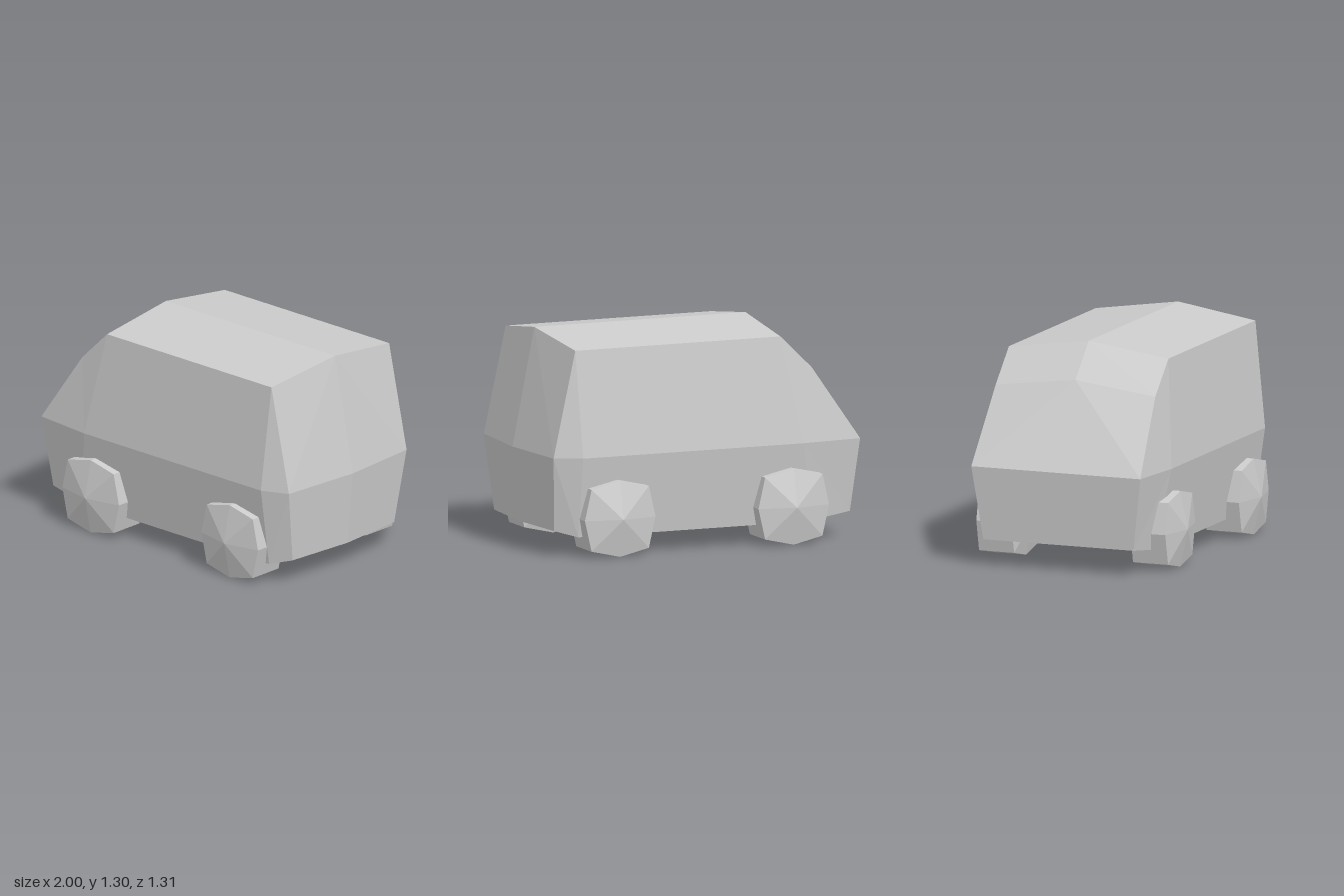
import * as THREE from 'three';

const material = new THREE.MeshStandardMaterial({
  color: 0xcccccc,
  flatShading: true,
});

// Half cross-sections from nose to tail. Each runs up the +z side:
// floor centre, floor edge, waist, roof edge, roof ridge.
const SECTIONS = [
  [[-0.96, 0.16, 0], [-0.96, 0.16, 0.48], [-1, 0.6, 0.54], [-1, 0.6, 0.54], [-1, 0.6, 0]],
  [[-0.7, 0.125, 0], [-0.7, 0.125, 0.51], [-0.62, 0.6, 0.58], [-0.7, 1.04, 0.51], [-0.7, 1.105, 0]],
  [[-0.5, 0.12, 0], [-0.5, 0.12, 0.51], [-0.5, 0.6, 0.58], [-0.5, 1.235, 0.51], [-0.5, 1.305, 0]],
  [[0.8, 0.12, 0], [0.8, 0.12, 0.51], [0.8, 0.6, 0.58], [0.82, 1.235, 0.51], [0.86, 1.305, 0]],
  [[0.96, 0.155, 0], [0.925, 0.155, 0.44], [0.96, 0.6, 0.51], [0.82, 1.235, 0.51], [0.86, 1.305, 0]],
];

function createBody() {
  const positions = [];
  const same = (a, b) => a.every((v, k) => v === b[k]);

  // Adds a triangle and its mirror image, skipping collapsed ones
  const tri = (a, b, c) => {
    if (same(a, b) || same(b, c) || same(a, c)) return;
    positions.push(...a, ...b, ...c);
    for (const [x, y, z] of [a, c, b]) positions.push(x, y, -z);
  };
  const quad = (a, b, c, d) => {
    tri(a, b, c);
    tri(a, c, d);
  };

  // Floor, sides, windscreen and roof
  for (let i = 0; i < SECTIONS.length - 1; i++) {
    const p = SECTIONS[i];
    const q = SECTIONS[i + 1];
    for (let j = 0; j < 4; j++) quad(p[j], q[j], q[j + 1], p[j + 1]);
  }

  // Nose panel
  const nose = SECTIONS[0];
  quad(nose[0], nose[1], nose[2], nose[4]);

  // Tail panels, pointed along the centre line
  const tail = SECTIONS[SECTIONS.length - 1];
  const tailWaist = [1, 0.6, 0];
  quad(tail[1], tail[0], tailWaist, tail[2]);
  quad(tail[2], tailWaist, tail[4], tail[3]);

  const geometry = new THREE.BufferGeometry();
  geometry.setAttribute('position', new THREE.Float32BufferAttribute(positions, 3));
  geometry.computeVertexNormals();
  const body = new THREE.Mesh(geometry, material);
  body.name = 'body';
  return body;
}

// Eight-sided wheel with pointed hubs, squared off at its diagonals
function createWheelGeometry() {
  const profile = [[0, -0.162], [0.227, -0.112], [0.227, 0.112], [0, 0.162]];
  const geometry = new THREE.LatheGeometry(
    profile.map(([r, y]) => new THREE.Vector2(r, y)), 8);
  geometry.rotateX(Math.PI / 2);
  const pos = geometry.attributes.position;
  for (let i = 0; i < pos.count; i++) {
    const x = pos.getX(i);
    const y = pos.getY(i);
    if (Math.abs(x * y) > 0.01) pos.setXY(i, x * 1.15, y * 1.15);
  }
  geometry.computeVertexNormals();
  return geometry;
}

export function createModel() {
  const model = new THREE.Group();
  model.name = 'van';
  model.add(createBody());

  const wheelGeometry = createWheelGeometry();
  for (const [end, x] of [['nose', -0.545], ['tail', 0.572]]) {
    for (const side of [1, -1]) {
      const wheel = new THREE.Mesh(wheelGeometry, material);
      wheel.name = `${end}Wheel${side > 0 ? 'Near' : 'Far'}`;
      wheel.position.set(x, 0.23, side * 0.492);
      model.add(wheel);
    }
  }
  return model;
}
